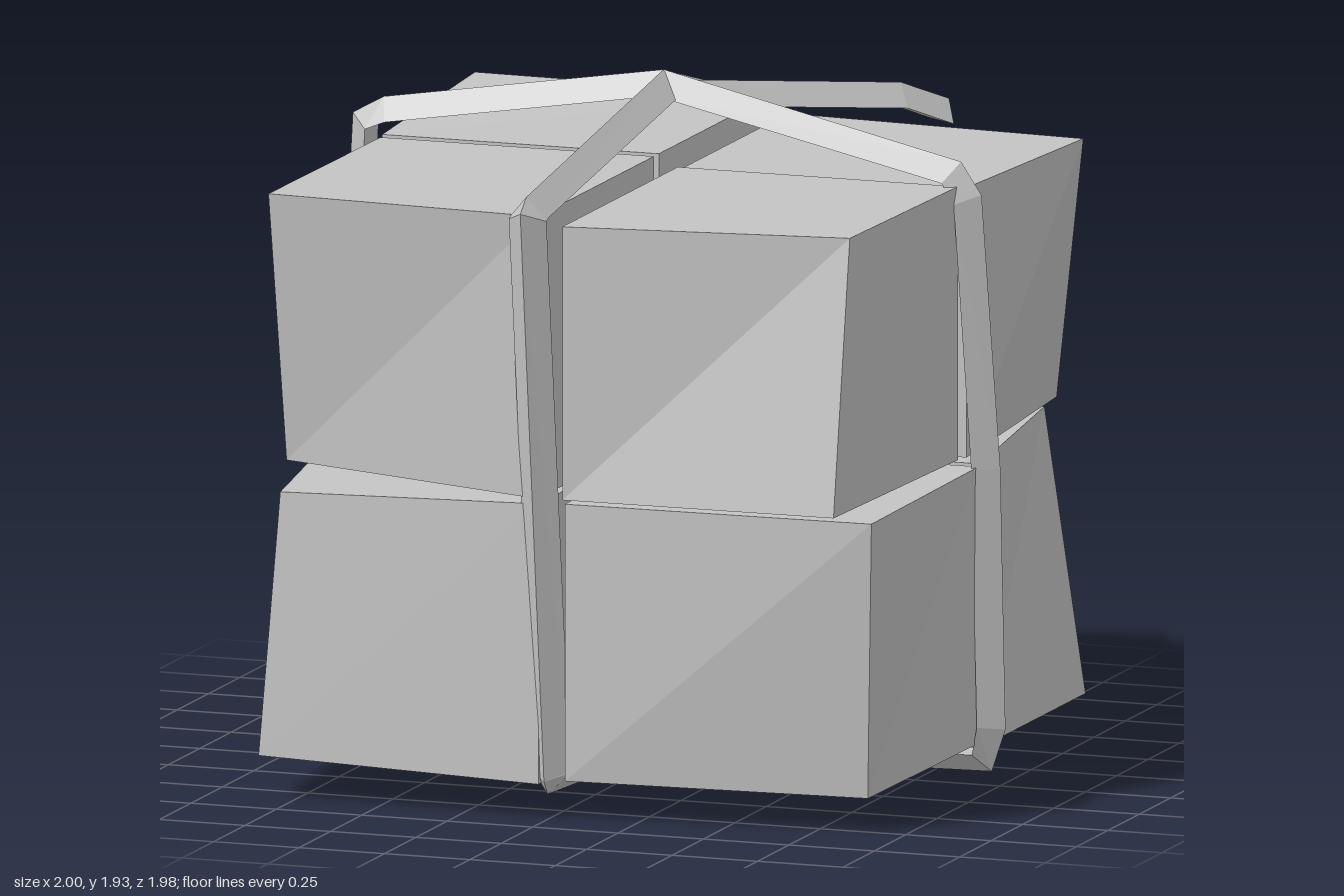
import * as THREE from 'three';

const paperGrey = new THREE.MeshStandardMaterial({ name: 'paperGrey', color: 0xc4c4c4 });

function flatMesh(geometry, name) {
  const flat = geometry.index ? geometry.toNonIndexed() : geometry;
  flat.computeVertexNormals();
  const mesh = new THREE.Mesh(flat, paperGrey);
  mesh.name = name;
  return mesh;
}

// A block reaching from the centre seam to (x, z), its outer corners nudged out of square
function block(name, x, z, bottom, top, lowCorner, highCorner) {
  const g = new THREE.BoxGeometry(1, 1, 1);
  const p = g.attributes.position;
  const seamX = x < 0 ? -0.02 : 0.05;
  const seamZ = z < 0 ? -0.06 : -0.02;
  for (let i = 0; i < p.count; i++) {
    const outX = p.getX(i) * x > 0;
    const outZ = p.getZ(i) * z > 0;
    const high = p.getY(i) > 0;
    if (outX && outZ) p.setXYZ(i, ...(high ? highCorner : lowCorner));
    else p.setXYZ(i, outX ? x : seamX, high ? top : bottom, outZ ? z : seamZ);
  }
  return flatMesh(g, name);
}

// A ridged band of triangular section swept along a path; side is its width direction
function band(name, points, side, closed) {
  const path = points.map((q) => new THREE.Vector3(...q));
  const s = new THREE.Vector3(...side).normalize();
  const n = path.length;
  const rings = path.map((pt, i) => {
    const a = closed ? path[(i + n - 1) % n] : path[Math.max(i - 1, 0)];
    const b = closed ? path[(i + 1) % n] : path[Math.min(i + 1, n - 1)];
    const tIn = pt.clone().sub(a).normalize();
    const tOut = b.clone().sub(pt).normalize();
    const out = tIn.add(tOut).cross(s).normalize();
    const base = pt.clone().addScaledVector(out, -0.065);
    return [pt, base.clone().addScaledVector(s, 0.055), base.clone().addScaledVector(s, -0.055)];
  });
  const tris = [];
  for (let i = 0; i < (closed ? n : n - 1); i++) {
    const r = rings[i];
    const q = rings[(i + 1) % n];
    for (let k = 0; k < 3; k++) {
      const m = (k + 1) % 3;
      tris.push(r[k], q[k], q[m], r[k], q[m], r[m]);
    }
  }
  if (!closed) {
    const [a, b, c] = rings[0];
    const [d, e, f] = rings[n - 1];
    tris.push(a, b, c, d, f, e);
  }
  return flatMesh(new THREE.BufferGeometry().setFromPoints(tris), name);
}

export function createModel() {
  const model = new THREE.Group();
  model.name = 'strappedBundle';

  // Lower layer of blocks
  const lower = new THREE.Group();
  lower.name = 'lowerLayer';
  lower.add(
    block('lowerFrontRightBlock', -0.92, 0.9, 0.1, 0.885, [-0.85, 0.12, 0.87], [-0.79, 0.86, 0.86]),
    block('lowerFrontLeftBlock', 0.93, 0.88, 0.11, 0.885, [0.9, 0.1, 0.78], [0.94, 0.885, 0.86]),
    block('lowerBackRightBlock', -0.92, -0.9, 0.1, 0.885, [-0.92, 0.12, -0.88], [-0.93, 0.885, -0.87]),
    block('lowerBackLeftBlock', 0.92, -0.9, 0.09, 0.885, [0.92, 0.09, -0.9], [0.8, 0.885, -0.9]),
  );

  // Upper layer of blocks
  const upper = new THREE.Group();
  upper.name = 'upperLayer';
  upper.add(
    block('upperFrontRightBlock', -0.82, 0.905, 0.9, 1.69, [-0.79, 0.94, 0.81], [-0.81, 1.7, 0.9]),
    block('upperFrontLeftBlock', 0.87, 0.9, 0.9, 1.665, [0.84, 0.9, 0.89], [0.84, 1.66, 0.76]),
    block('upperBackRightBlock', -0.83, -0.97, 0.9, 1.69, [-0.84, 0.9, -0.95], [-0.83, 1.73, -0.8]),
    block('upperBackLeftBlock', 0.88, -0.9, 0.9, 1.655, [0.81, 0.9, -0.97], [0.91, 1.64, -0.91]),
  );
  model.add(lower, upper);

  // Band running around the sides
  const across = [
    [0, 1.93], [-0.82, 1.8], [-0.91, 1.75], [-1, 0.1], [-0.93, 0.055], [0, 0.015],
    [0.96, 0.03], [1, 0.15], [0.985, 0.88], [0.93, 1.64], [0.87, 1.73],
  ];
  model.add(band('sideBand', across.map(([x, y]) => [x, y, -0.045]), [0, 0, 1], true));

  // Band running from front to back
  const along = [
    [0, 1.93, -0.04], [-0.04, 1.75, 0.94], [-0.04, 1.71, 0.99], [0, 0.11, 0.91], [0, 0.07, 0.88],
    [0, 0.03, 0], [0, 0, -0.1], [0, 0.04, -0.9], [0, 0.13, -0.96], [0, 0.9, -0.97],
    [0, 1.64, -0.99], [0, 1.69, -0.94],
  ];
  model.add(band('frontBackBand', along, [1, 0, 0], true));

  // Loose end of the band on top
  const tail = [[0.08, 1.9, -0.08], [0.46, 1.81, -0.68], [0.55, 1.745, -0.82]];
  model.add(band('looseBandEnd', tail, [-0.83, 0, -0.55], false));

  return model;
}
